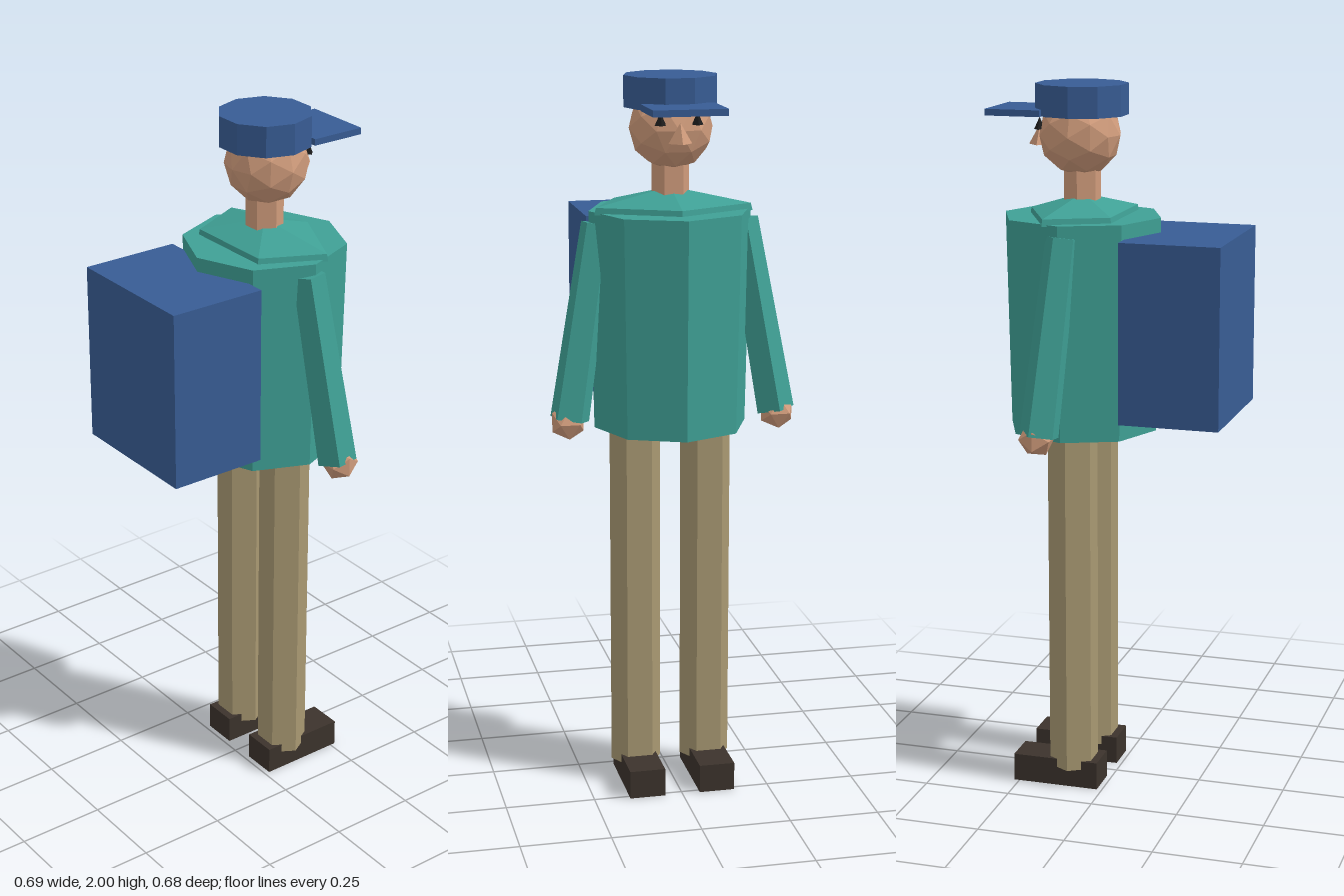
import * as THREE from 'three';

const CX = 0.098; // body axis; the figure looks towards +x

export function createModel() {
  const root = new THREE.Group();
  root.name = 'backpacker';

  const mat = (name, color) => {
    const m = new THREE.MeshStandardMaterial({ color, flatShading: true });
    m.name = name;
    return m;
  };
  const teal = mat('teal jacket', 0x3fa095);
  const blue = mat('blue fabric', 0x385c94);
  const skin = mat('skin', 0xcf9b7b);
  const khaki = mat('khaki trousers', 0xa89872);
  const brown = mat('dark brown shoes', 0x3c332c);
  const black = mat('black eyes', 0x1c1c1c);

  const add = (name, geo, material, x, y, z) => {
    const mesh = new THREE.Mesh(geo, material);
    mesh.name = name;
    mesh.position.set(x, y, z);
    root.add(mesh);
    return mesh;
  };

  // Torso and sloped shoulders
  add('torso', new THREE.CylinderGeometry(0.225, 0.213, 0.6, 8), teal, CX, 1.34, 0);
  const rim = new THREE.CylinderGeometry(0.224, 0.229, 0.02, 5, 1, true, Math.PI / 2);
  add('shoulderRim', rim, teal, CX, 1.645, 0).scale.x = 0.664;
  const slope = new THREE.ConeGeometry(0.224, 0.045, 5, 1, false, Math.PI / 2);
  add('shoulders', slope, teal, CX, 1.6775, 0).scale.x = 0.664;

  // Neck, head and face
  add('neck', new THREE.CylinderGeometry(0.052, 0.052, 0.16, 6), skin, CX, 1.73, 0);
  add('head', new THREE.IcosahedronGeometry(0.115, 1), skin, 0.104, 1.861, 0);
  add('nose', new THREE.ConeGeometry(0.032, 0.055, 4), skin, 0.22, 1.857, 0);

  // Cap
  add('capCrown', new THREE.CylinderGeometry(0.128, 0.128, 0.085, 10), blue, CX, 1.9575, 0);
  add('capBrim', new THREE.BoxGeometry(0.157, 0.018, 0.2), blue, 0.2665, 1.923, 0);

  // Backpack
  add('backpack', new THREE.BoxGeometry(0.28, 0.5, 0.404), blue, -0.205, 1.35, 0);

  // Paired parts
  for (const s of [1, -1]) {
    const side = s > 0 ? 'Near' : 'Far';
    add('eye' + side, new THREE.ConeGeometry(0.016, 0.034, 4), black, 0.204, 1.893, s * 0.05);
    add('leg' + side, new THREE.CylinderGeometry(0.071, 0.071, 0.99, 6), khaki, CX, 0.55, s * 0.1);
    add('shoe' + side, new THREE.BoxGeometry(0.25, 0.08, 0.1), brown, 0.14, 0.04, s * 0.1);

    // Five-sided sleeve running from the shoulder out to the hand
    const top = new THREE.Vector3(0.092, 1.605, s * 0.2);
    const end = new THREE.Vector3(0.132, 1.075, s * 0.288);
    const dir = top.clone().sub(end);
    const turn = Math.PI + (s > 0 ? 0.12 : -0.25);
    const sleeve = new THREE.CylinderGeometry(0.046, 0.056, dir.length(), 5, 1, false, turn);
    const mid = top.add(end).multiplyScalar(0.5);
    add('arm' + side, sleeve, teal, mid.x, mid.y, mid.z)
      .quaternion.setFromUnitVectors(new THREE.Vector3(0, 1, 0), dir.normalize());
    add('hand' + side, new THREE.IcosahedronGeometry(0.051, 0), skin, 0.138, 1.07, s * 0.294);
  }
  return root;
}
